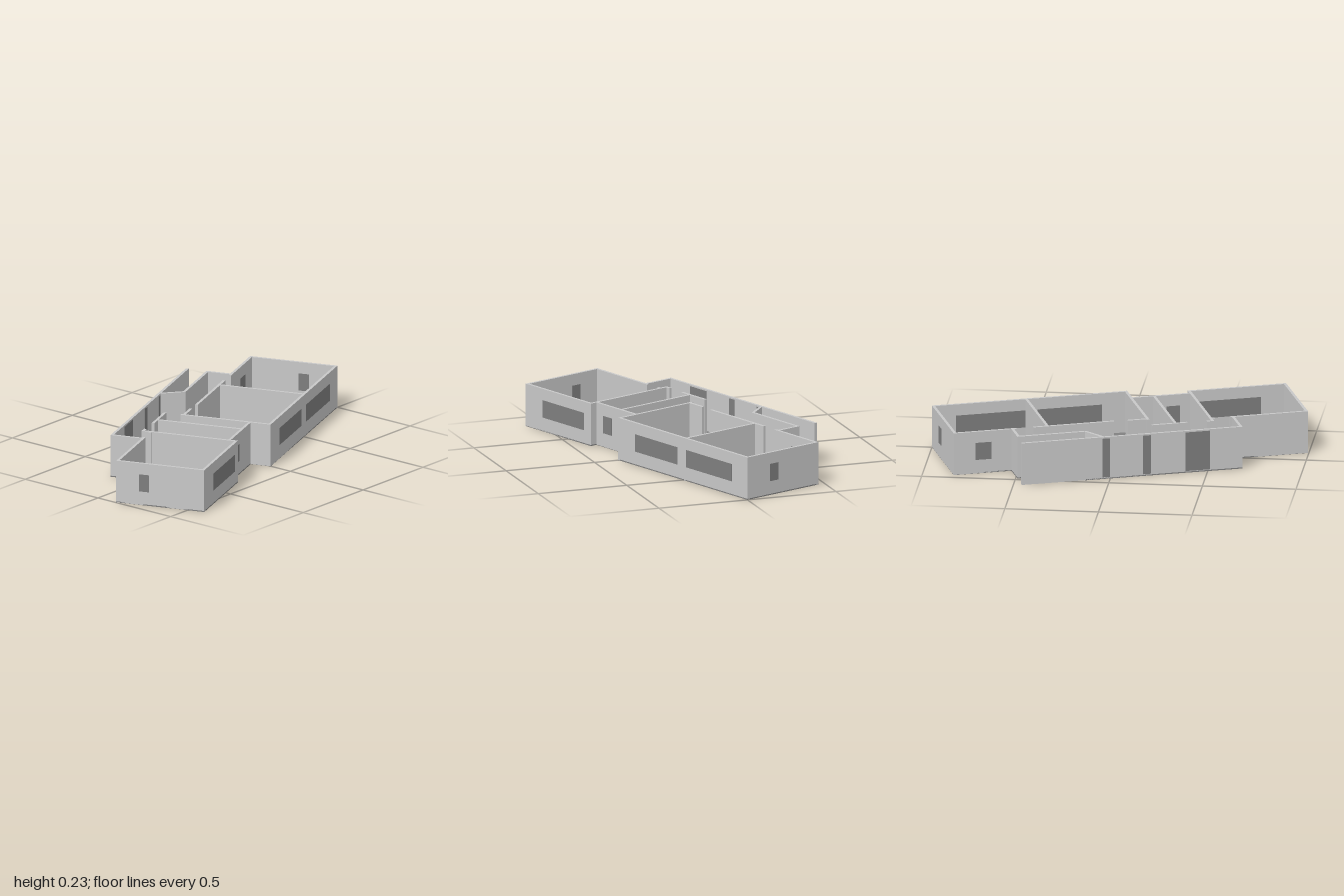
import * as THREE from 'three';

const H = 0.233; // wall height
const T = 0.015; // wall thickness

export function createModel() {
  const wallMat = new THREE.MeshStandardMaterial({ name: 'lightGreyWall', color: 0xc8c8c8 });
  const floorMat = new THREE.MeshStandardMaterial({ name: 'darkGreyFloor', color: 0x808080 });
  const paneMat = new THREE.MeshStandardMaterial({ name: 'greyPane', color: 0x7e7e7e });

  const model = new THREE.Group();
  model.name = 'floorPlanHouse';
  const plan = new THREE.Group(); // the plan is drawn square, then turned
  plan.name = 'house';
  plan.rotation.y = THREE.MathUtils.degToRad(20);
  model.add(plan);

  // Box from plan extents and a height range
  function block(name, mat, x0, x1, z0, z1, y0, y1) {
    const mesh = new THREE.Mesh(new THREE.BoxGeometry(x1 - x0, y1 - y0, z1 - z0), mat);
    mesh.position.set((x0 + x1) / 2, (y0 + y1) / 2, (z0 + z1) / 2);
    mesh.name = name;
    plan.add(mesh);
    return mesh;
  }
  const wallAlongZ = (name, x, z0, z1) => block(name, wallMat, x, x + T, z0, z1, 0.001, H);
  const wallAlongX = (name, z, x0, x1) => block(name, wallMat, x0, x1, z, z + T, 0.001, H);

  // Floor slab
  const outline = [
    [-0.149, -0.94], [0.343, -0.94], [0.343, 0.127], [0.231, 0.127], [0.231, 0.44],
    [0.27, 0.44], [0.27, 0.978], [-0.226, 0.978], [-0.226, 0.577], [-0.4, 0.577],
    [-0.4, -0.283], [-0.284, -0.283], [-0.284, -0.625], [-0.149, -0.625],
  ].map(([x, z]) => new THREE.Vector2(x, z));
  const slab = new THREE.ExtrudeGeometry(new THREE.Shape(outline), { depth: 0.006, bevelEnabled: false });
  slab.rotateX(Math.PI / 2).translate(0, 0.006, 0);
  const floor = new THREE.Mesh(slab, floorMat);
  floor.name = 'floor';
  plan.add(floor);

  // Outer walls: x or z is the lower face, followed by the run
  [
    [0.343 - T, -0.94, 0.127],
    [0.231 - T, 0.127, 0.44],
    [0.27 - T, 0.44, 0.978],
    [-0.226, 0.55, 0.978],
    [-0.226, 0.44, 0.468],
    [-0.4, -0.629, 0.577],
    [-0.284, -0.625, -0.25],
    [-0.149, -0.94, -0.595],
  ].forEach(([x, z0, z1]) => wallAlongZ('outerWall', x, z0, z1));
  [
    [-0.94, -0.149, 0.343],
    [0.978 - T, -0.226, 0.27],
    [0.577 - T, -0.4, -0.215],
    [-0.625, -0.284, -0.149],
  ].forEach(([z, x0, x1]) => wallAlongX('outerWall', z, x0, x1));

  // Room partitions
  [
    [-0.149, -0.503, -0.063],
    [-0.155, 0.01, 0.127],
    [-0.262, 0.116, 0.311],
    [-0.268, 0.415, 0.455],
  ].forEach(([x, z0, z1]) => wallAlongZ('partition', x, z0, z1));
  [
    [-0.433, -0.149, 0.343],
    [0.127 - T, -0.165, 0.343],
    [0.238, -0.255, 0.231],
    [0.44, -0.268, 0.27],
  ].forEach(([z, x0, x1]) => wallAlongX('partition', z, x0, x1));

  // Slanted entrance wall
  const dx = 0.114, dz = -0.07;
  const slanted = block('entranceWall', wallMat, -dx / 2 - 0.01, dx / 2 + 0.01, -T / 2, T / 2, 0.001, H);
  slanted.scale.x = 1.0;
  slanted.position.x = -0.333;
  slanted.position.z = -0.217;
  slanted.rotation.y = Math.atan2(-dz, dx);

  // Panes sit just proud of both wall faces
  const E = 0.0015;
  const paneAlongZ = (name, x, z0, z1, y0, y1) => block(name, paneMat, x - E, x + T + E, z0, z1, y0, y1);
  const paneAlongX = (name, z, x0, x1, y0, y1) => block(name, paneMat, x0, x1, z - E, z + T + E, y0, y1);
  const sill = 0.076, head = 0.171;
  [
    [0.343 - T, -0.812, -0.433],
    [0.343 - T, -0.365, -0.014],
    [0.231 - T, 0.312, 0.385],
    [0.27 - T, 0.496, 0.837],
    [-0.149, -0.82, -0.735],
  ].forEach(([x, z0, z1]) => paneAlongZ('window', x, z0, z1, sill, head));
  paneAlongX('frontWindow', 0.978 - T, -0.097, -0.04, sill, head);
  paneAlongX('backWindow', -0.94, 0.13, 0.187, sill, head);

  // Tall glazing in the long side wall
  [[-0.187, -0.149], [0.034, 0.076], [0.266, 0.398]]
    .forEach(([z0, z1]) => paneAlongZ('tallPane', -0.4, z0, z1, 0.01, 0.225));

  return model;
}
